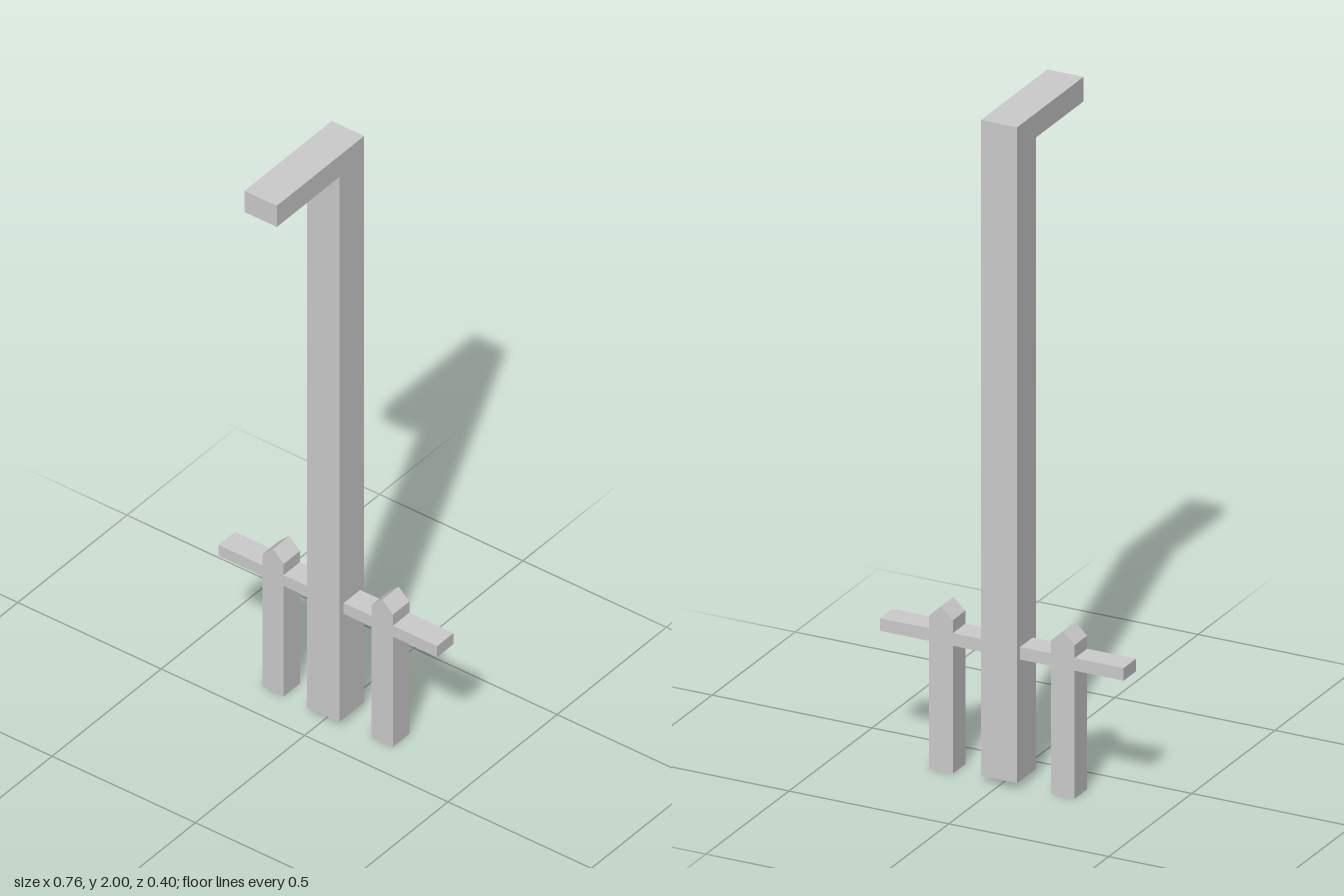
import * as THREE from 'three';

const material = new THREE.MeshStandardMaterial({ color: 0xcccccc, flatShading: true });

// Extrudes a closed outline along z, centred on z = 0
function extrude(points, depth) {
  const shape = new THREE.Shape(points.map(([x, y]) => new THREE.Vector2(x, y)));
  const geometry = new THREE.ExtrudeGeometry(shape, { depth, bevelEnabled: false });
  return geometry.translate(0, 0, -depth / 2);
}

export function createModel() {
  const group = new THREE.Group();
  const add = (name, geometry, x, y, z) => {
    const mesh = new THREE.Mesh(geometry, material);
    mesh.name = name;
    mesh.position.set(x, y, z);
    group.add(mesh);
  };

  // Tall post with an overhanging arm: side outline (z, y) turned to face +x
  const post = extrude([
    [-0.2, 0.02], [-0.086, 0.02], [-0.086, 1.926],
    [0.2, 1.926], [0.2, 2], [-0.2, 2],
  ], 0.113).rotateY(-Math.PI / 2);
  add('postWithArm', post, -0.001, 0, 0);

  // Fence behind the post's front face
  const fenceZ = -0.144, fenceDepth = 0.075;
  add('rail', new THREE.BoxGeometry(0.762, 0.038, fenceDepth), 0, 0.405, fenceZ);

  // Pointed pickets, one on each side
  const w = 0.037;
  const picket = extrude([[-w, 0], [w, 0], [w, 0.463], [0, 0.498], [-w, 0.463]], fenceDepth);
  add('rightPicket', picket, -0.191, 0, fenceZ);
  add('leftPicket', picket, 0.19, 0, fenceZ);

  return group;
}
